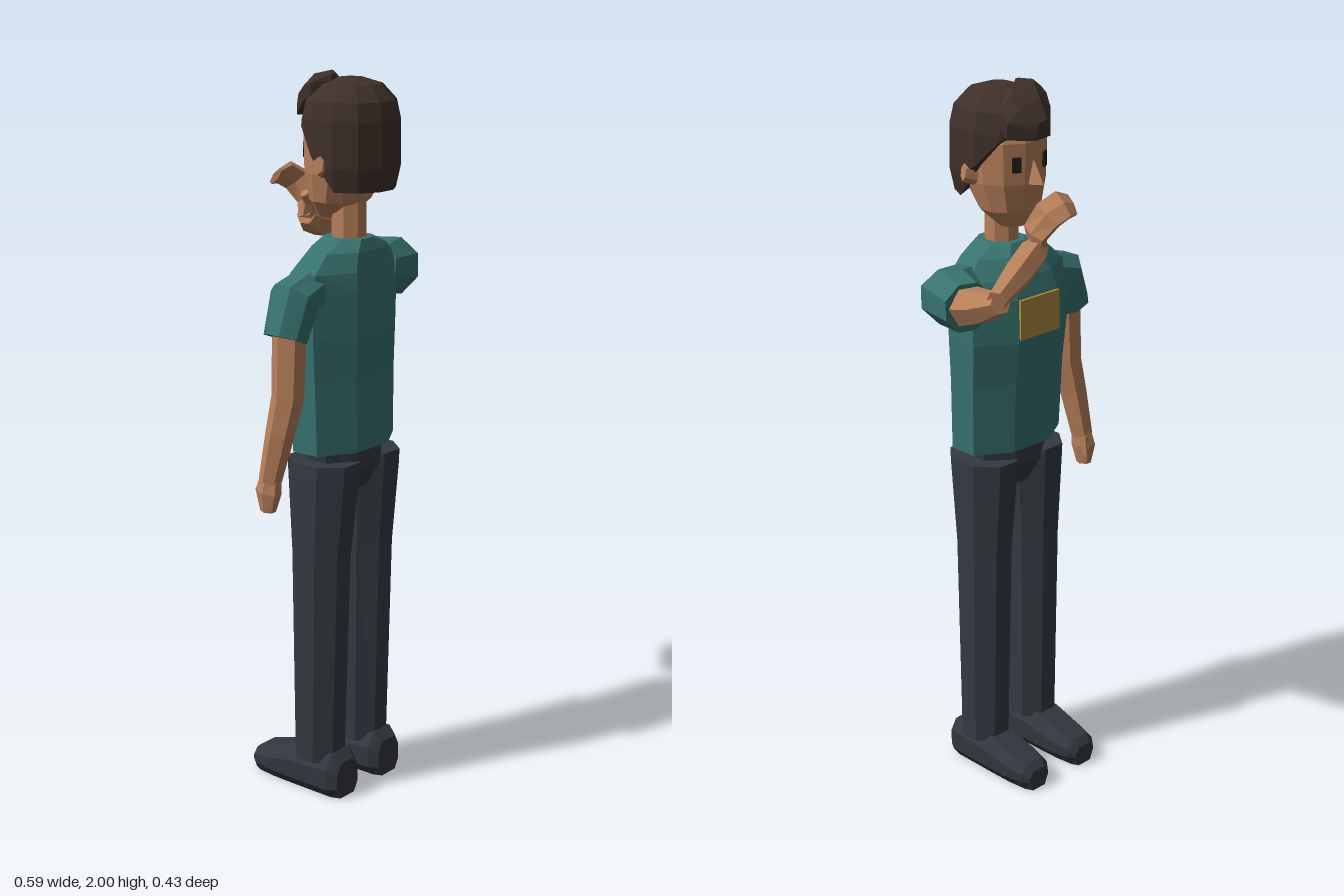
import * as THREE from 'three';

const mat = (name, hex) => {
  const m = new THREE.MeshStandardMaterial({ color: hex });
  m.name = name;
  return m;
};

// Closed, faceted skin over a list of rings (arrays of [x, y, z]), capped at both ends.
function loft(rings) {
  const tris = [];
  const n = rings[0].length;
  for (let r = 0; r < rings.length - 1; r++) {
    for (let i = 0; i < n; i++) {
      const j = (i + 1) % n;
      const a = rings[r][i], b = rings[r][j], c = rings[r + 1][j], d = rings[r + 1][i];
      tris.push([a, b, c], [a, c, d]);
    }
  }
  const cap = (ring, flip) => {
    const mid = [0, 1, 2].map(k => ring.reduce((s, p) => s + p[k], 0) / n);
    ring.forEach((p, i) => {
      const q = ring[(i + 1) % n];
      tris.push(flip ? [q, p, mid] : [p, q, mid]);
    });
  };
  cap(rings[0], true);
  cap(rings[rings.length - 1], false);
  // Turn the faces outward whichever way the rings run
  let volume = 0;
  for (const [a, b, c] of tris) {
    volume += a[0] * (b[1] * c[2] - b[2] * c[1]) + a[1] * (b[2] * c[0] - b[0] * c[2]) + a[2] * (b[0] * c[1] - b[1] * c[0]);
  }
  if (volume < 0) tris.forEach(t => t.reverse());
  const g = new THREE.BufferGeometry();
  g.setAttribute('position', new THREE.Float32BufferAttribute(tris.flat(2), 3));
  g.computeVertexNormals();
  return g;
}

// Horizontal ring whose flats lie at rx and rz from the centre
function ring(n, y, cx, cz, rx, rz) {
  const k = 1 / Math.cos(Math.PI / n);
  return Array.from({ length: n }, (_, i) => {
    const t = (i + 0.5) * 2 * Math.PI / n;
    return [cx + rx * k * Math.cos(t), y, cz + rz * k * Math.sin(t)];
  });
}

// Tapered limb along points [x, y, z, a, b]; a is the radius along ref, b across it
function limb(points, ref = [0, 0, 1], n = 6) {
  const P = points.map(p => new THREE.Vector3(p[0], p[1], p[2]));
  const k = 1 / Math.cos(Math.PI / n);
  return loft(points.map(([, , , a, b = a], i) => {
    const t = P[Math.min(i + 1, P.length - 1)].clone().sub(P[Math.max(i - 1, 0)]).normalize();
    const u = new THREE.Vector3(...ref);
    u.addScaledVector(t, -u.dot(t)).normalize();
    const v = t.clone().cross(u);
    return Array.from({ length: n }, (_, j) => {
      const w = (j + 0.5) * 2 * Math.PI / n;
      return P[i].clone().addScaledVector(u, a * k * Math.cos(w)).addScaledVector(v, b * k * Math.sin(w)).toArray();
    });
  }));
}

export function createModel() {
  const model = new THREE.Group();
  model.name = 'standingPerson';
  const skin = mat('skin', 0xb9815b);
  const hair = mat('hair', 0x3f3029);
  const shirt = mat('shirt', 0x387370);
  const trousers = mat('trousers', 0x343a42);
  const shoes = mat('shoes', 0x32373e);
  const patch = mat('patch', 0xb08c3e);
  const dark = mat('eyes', 0x201c1a);
  const add = (name, geometry, material) => {
    const m = new THREE.Mesh(geometry, material);
    m.name = name;
    model.add(m);
    return m;
  };

  // Legs and shoes
  for (const s of [-1, 1]) {
    add('leg', loft([
      ring(8, 0.1, s * 0.095, 0.053, 0.066, 0.067),
      ring(8, 0.7, s * 0.092, 0.056, 0.07, 0.08),
      ring(8, 0.93, s * 0.087, 0.06, 0.08, 0.098),
      ring(8, 0.97, s * 0.087, 0.06, 0.08, 0.1),
    ]), trousers);
    const sections = [[0.152, 0.046, 0.105], [0.125, 0.063, 0.128], [-0.015, 0.064, 0.115],
      [-0.09, 0.062, 0.092], [-0.145, 0.052, 0.078], [-0.166, 0.036, 0.06]];
    add('shoe', loft(sections.map(([z, w, h]) =>
      [[-0.65, 0], [0.65, 0], [1, 0.03], [1, h * 0.7], [0.6, h], [-0.6, h], [-1, h * 0.7], [-1, 0.03]]
        .map(([x, y]) => [s * 0.094 + x * w, y, z]))), shoes);
  }
  add('pelvis', loft([
    ring(8, 0.88, 0, 0.06, 0.05, 0.06),
    ring(8, 0.95, 0, 0.06, 0.115, 0.09),
    ring(8, 1.005, 0, 0.06, 0.125, 0.09),
  ]), trousers);

  // Shirt body with chest patch
  add('shirtBody', loft([
    [1.0, 0.06, 0.165, 0.1], [1.2, 0.055, 0.17, 0.105], [1.32, 0.05, 0.176, 0.115],
    [1.44, 0.052, 0.178, 0.113], [1.49, 0.06, 0.172, 0.1], [1.54, 0.07, 0.125, 0.08], [1.57, 0.075, 0.06, 0.062],
  ].map(([y, cz, rx, rz]) => ring(8, y, 0, cz, rx, rz))), shirt);
  add('chestPatch', new THREE.BoxGeometry(0.145, 0.11, 0.009), patch).position.set(-0.002, 1.385, -0.065);

  // Hanging arm
  add('loweredSleeve', limb([[-0.135, 1.45, 0.06, 0.055], [-0.205, 1.43, 0.06, 0.064], [-0.243, 1.33, 0.06, 0.056]], [0, 0, 1], 8), shirt);
  add('loweredArm', limb([[-0.225, 1.38, 0.06, 0.04], [-0.235, 1.17, 0.06, 0.038],
    [-0.25, 1.07, 0.045, 0.034], [-0.262, 0.94, 0.02, 0.027]]), skin);
  add('loweredHand', limb([[-0.262, 0.96, 0.025, 0.026, 0.02], [-0.263, 0.91, 0.015, 0.034, 0.024],
    [-0.262, 0.855, 0.012, 0.02, 0.016]]), skin);
  add('loweredThumb', limb([[-0.25, 0.94, 0, 0.012], [-0.245, 0.89, -0.012, 0.009]]), skin);

  // Raised arm, bent across the chest
  add('raisedSleeve', limb([[0.13, 1.47, 0.07, 0.055], [0.205, 1.455, 0.055, 0.078], [0.233, 1.455, -0.04, 0.064]], [0, 1, 0], 8), shirt);
  add('raisedUpperArm', limb([[0.225, 1.45, 0, 0.052], [0.243, 1.475, -0.1, 0.041], [0.262, 1.51, -0.19, 0.026]], [0, 1, 0]), skin);
  add('raisedForearm', limb([[0.275, 1.52, -0.19, 0.024], [0.17, 1.555, -0.155, 0.035],
    [0.085, 1.583, -0.124, 0.036], [0.05, 1.598, -0.115, 0.024]], [0, 1, 0]), skin);
  add('raisedHand', limb([[0.055, 1.59, -0.115, 0.024, 0.02], [0.073, 1.64, -0.125, 0.036, 0.016],
    [0.058, 1.69, -0.155, 0.04, 0.014], [0.022, 1.712, -0.17, 0.039, 0.012],
    [-0.012, 1.705, -0.17, 0.03, 0.008]], [0, 0.7, 0.7]), skin);
  add('raisedThumb', limb([[0.058, 1.6, -0.115, 0.02], [0.045, 1.64, -0.1, 0.016], [0.025, 1.662, -0.1, 0.011]]), skin);

  // Neck and head
  add('neck', loft([1.55, 1.7].map(y => ring(8, y, 0, 0.075, 0.045, 0.045))), skin);
  add('head', loft([
    [1.62, 0.025, 0.045, 0.035], [1.665, 0.045, 0.085, 0.075], [1.74, 0.063, 0.105, 0.104],
    [1.85, 0.07, 0.11, 0.115], [1.93, 0.075, 0.085, 0.09],
  ].map(([y, cz, rx, rz]) => ring(12, y, 0, cz, rx, rz))), skin);
  add('nose', loft([
    [[-0.02, 1.738, -0.03], [0, 1.742, -0.082], [0.02, 1.738, -0.03]],
    [[-0.005, 1.8, -0.03], [0, 1.8, -0.048], [0.005, 1.8, -0.03]],
  ]), skin);
  for (const s of [-1, 1]) {
    const eye = add('eye', new THREE.BoxGeometry(0.024, 0.04, 0.009), dark);
    eye.position.set(s * 0.05, 1.795, -0.033);
    eye.rotation.y = -s * 0.53;
    add('ear', limb([[s * 0.1, 1.765, 0.07, 0.02, 0.028], [s * 0.133, 1.77, 0.08, 0.013, 0.02]]), skin);
  }

  // Hair cap: the lower edge rises from the nape to the forehead
  const hairline = z => (z > 0.1 ? 1.7 : z > 0.02 ? 1.78 : z > -0.03 ? 1.85 : 1.88);
  const hairRow = (y, k, lift) => ring(12, y, 0.003, 0.08, 0.124 * k, 0.13 * k).map(([x, , z], i) => {
    const edge = hairline(ring(12, 0, 0, 0.08, 0.124, 0.13)[i][2]);
    return [x, Math.max(y, edge + lift), z];
  });
  add('hairCap', loft([hairRow(1.7, 0.9, 0), hairRow(1.76, 1, 0.01), hairRow(1.88, 0.985, 0.015),
    hairRow(1.93, 0.9, 0.02), hairRow(1.97, 0.62, 0.03), hairRow(1.985, 0.25, 0.04)]), hair);

  // Swept fringe: slices [z, left x, right x, left y, right y, thickness]
  add('fringe', loft([
    [0.05, -0.045, -0.02, 1.985, 1.985, 0.02], [0.015, -0.085, 0.035, 1.985, 1.99, 0.04],
    [-0.02, -0.07, 0.1, 1.98, 1.965, 0.055], [-0.06, -0.045, 0.11, 1.955, 1.935, 0.06],
    [-0.1, -0.005, 0.045, 1.91, 1.905, 0.035],
  ].map(([z, x0, x1, y0, y1, t]) => {
    const inset = (x1 - x0) * 0.25;
    return [[x0, y0 - t, z], [x1, y1 - t, z], [x1, y1 - t * 0.3, z],
      [x1 - inset, y1 + 0.01, z], [x0 + inset, y0 + 0.01, z], [x0, y0 - t * 0.3, z]];
  })), hair);

  return model;
}
